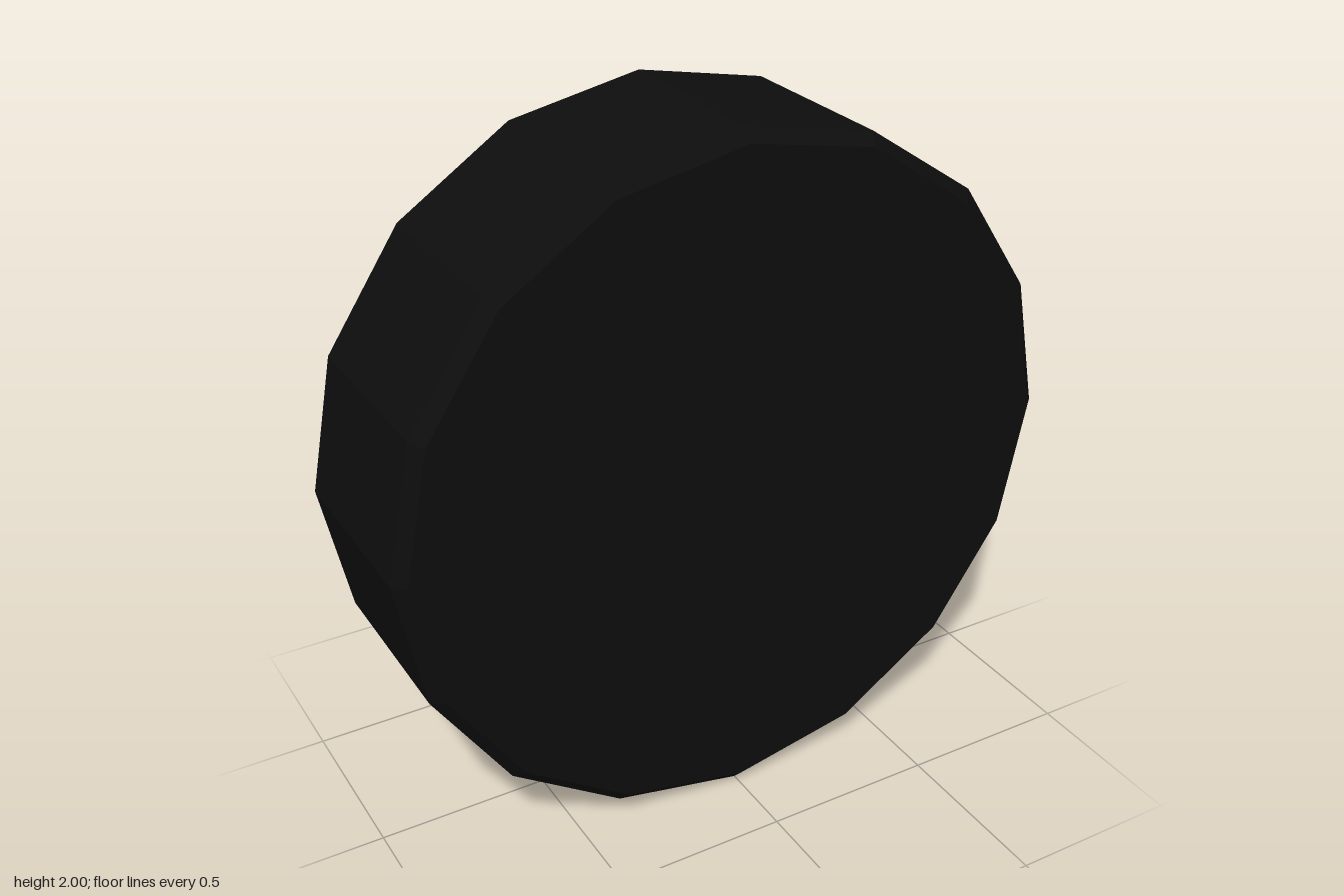
import * as THREE from 'three';

export function createModel() {
  const rubber = new THREE.MeshStandardMaterial({ color: 0x0d0d0d, flatShading: true });
  rubber.name = 'black rubber';
  const bronze = new THREE.MeshStandardMaterial({ color: 0xa87638, flatShading: true });
  bronze.name = 'bronze rim';

  const model = new THREE.Group();
  model.name = 'wheel';

  // The axle runs along local y; +y becomes the open back side (-z)
  const axle = new THREE.Group();
  axle.name = 'axleAssembly';
  axle.rotation.x = -Math.PI / 2;
  axle.position.y = 1;
  model.add(axle);

  const add = (name, geometry, material) => {
    const mesh = new THREE.Mesh(geometry, material);
    mesh.name = name;
    axle.add(mesh);
    return mesh;
  };
  const turned = (points, sides) =>
    new THREE.LatheGeometry(points.map(([r, h]) => new THREE.Vector2(r, h)), sides);

  // Tyre: closed front disc, chamfered tread, open back sidewall
  add('tyre', turned([[0, -0.3], [0.965, -0.3], [1, -0.267], [1, 0.267], [0.965, 0.3], [0.595, 0.3]], 16), rubber);

  // Dished rim with a raised mounting disc
  add('rim', turned([[0.595, 0.3], [0.58, 0.25], [0.43, 0.11], [0.363, 0.11], [0.363, 0.2], [0, 0.2]], 16), bronze);

  // Faceted hub cap
  add('hubCap', turned([[0.125, 0.19], [0.138, 0.225], [0.075, 0.275], [0, 0.28]], 8), rubber);

  // Five rounded wheel nuts
  const nut = new THREE.SphereGeometry(0.063, 8, 6);
  for (let i = 0; i < 5; i++) {
    const a = THREE.MathUtils.degToRad(-5.6 + i * 72);
    add('wheelNut' + (i + 1), nut, rubber).position.set(0.22 * Math.cos(a), 0.215, 0.22 * Math.sin(a));
  }

  return model;
}
